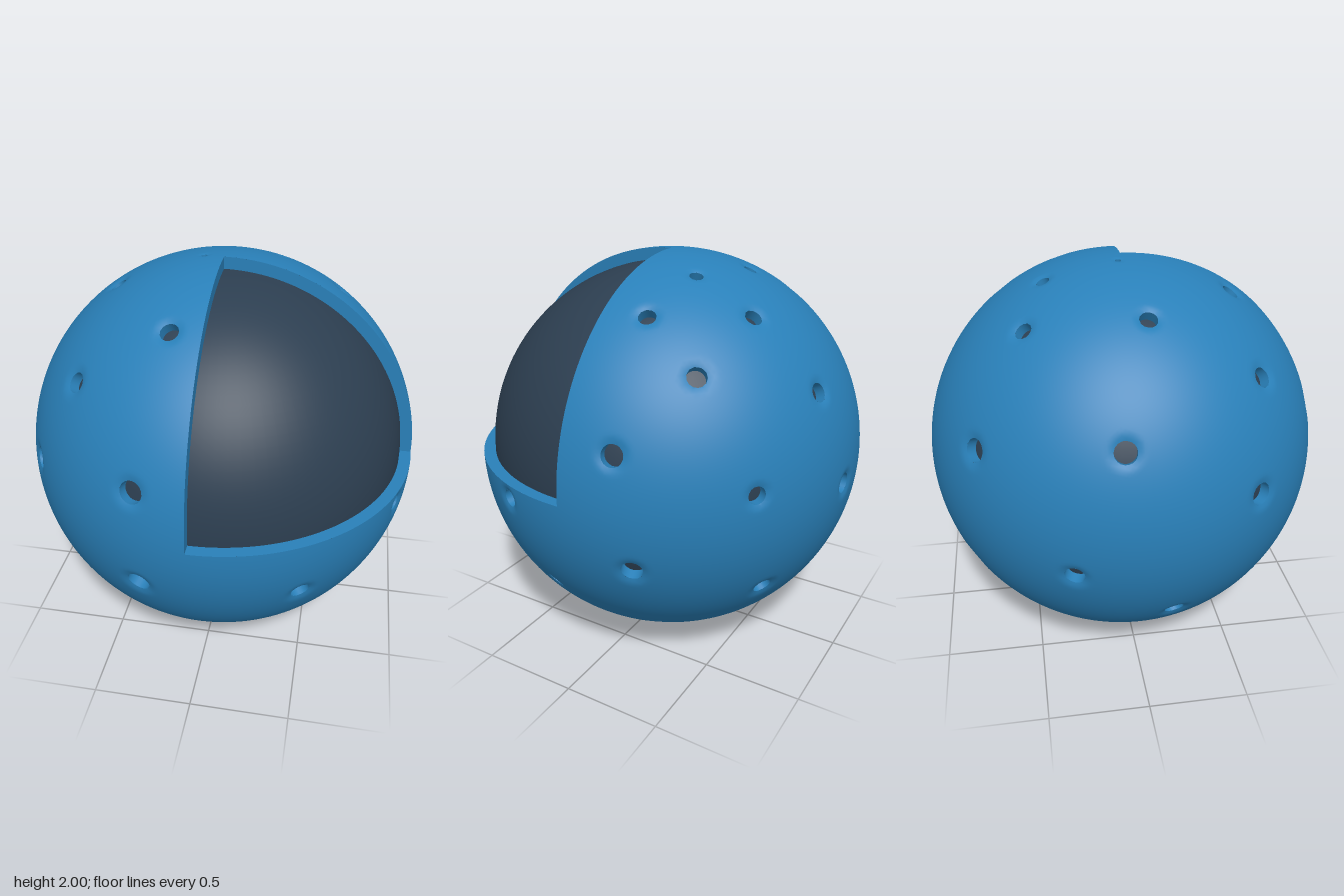
import * as THREE from 'three';
import { mergeVertices } from 'three/addons/utils/BufferGeometryUtils.js';

const OUTER = 1, INNER = 0.94, DIP = 0.01;

// Hole directions (x, y, z from the sphere centre) and angular radius
const HOLES = [
  [-0.15, 0.83, 0.52, 0.045], [-0.59, 0.57, 0.57, 0.05], [-0.25, 0.25, 0.93, 0.056],
  [-0.84, 0.10, 0.53, 0.056], [-0.25, -0.28, 0.93, 0.058], [0.51, -0.34, 0.79, 0.05],
  [-0.36, -0.75, 0.55, 0.048], [0.21, -0.78, 0.58, 0.045], [0.93, -0.08, 0.35, 0.045],
  [0.79, -0.57, 0.22, 0.05], [-0.52, 0.85, 0.05, 0.043], [-0.82, -0.55, 0.15, 0.05],
  [0.93, 0.27, -0.25, 0.052], [0.64, 0.58, -0.50, 0.047], [0.57, 0.79, -0.21, 0.042],
  [0.25, 0.93, -0.28, 0.034], [0.26, 0.77, -0.58, 0.043], [0.61, 0.08, -0.79, 0.043],
  [0.17, 0.44, -0.88, 0.047], [0.90, -0.29, -0.32, 0.053], [0.43, -0.49, -0.76, 0.048],
  [0.57, -0.78, -0.26, 0.046], [0.18, -0.98, 0.08, 0.05], [-0.24, -0.965, 0.11, 0.04],
  [-0.385, 0.78, -0.50, 0.043], [-0.11, 0.915, -0.387, 0.034], [-0.10, 0.995, -0.025, 0.015],
  [-0.905, 0.41, -0.11, 0.052], [-0.585, 0.295, -0.755, 0.057], [0.045, -0.04, -1, 0.052],
  [-0.915, -0.21, -0.344, 0.05], [-0.41, -0.42, -0.81, 0.05], [-0.47, -0.82, -0.33, 0.045],
  [0.08, -0.84, -0.54, 0.045],
].map(([x, y, z, r]) => ({ dir: new THREE.Vector3(x, y, z).normalize(), r }));

// Sphere skin without one octant; vertices are gathered on each hole's rim
// and the triangles lying inside the rim are dropped
function skinGeometry() {
  const raw = new THREE.OctahedronGeometry(OUTER, 95);
  raw.deleteAttribute('normal');
  raw.deleteAttribute('uv');
  const geo = mergeVertices(raw, 1e-5);
  const pos = geo.attributes.position;
  const inHole = new Array(pos.count).fill(-1);
  const octant = new Array(pos.count);
  const v = new THREE.Vector3(), t = new THREE.Vector3();
  for (let i = 0; i < pos.count; i++) {
    v.fromBufferAttribute(pos, i).normalize();
    octant[i] = [v.x, v.y, v.z];
    HOLES.forEach(({ dir, r }, h) => {
      const angle = v.angleTo(dir);
      if (angle > r * 1.8) return;
      t.copy(v).addScaledVector(dir, -v.dot(dir)).normalize();
      let a = angle;
      if (angle < r + 0.008) {
        a = r;
        inHole[i] = h;
      }
      // softly sunken lip round the hole
      const k = Math.max(0, 1 - (a - r) / (0.8 * r));
      const radius = OUTER - DIP * k * k * Math.min(1, r / 0.04);
      v.copy(dir).multiplyScalar(Math.cos(a)).addScaledVector(t, Math.sin(a)).multiplyScalar(radius);
    });
    pos.setXYZ(i, v.x, v.y, v.z);
  }
  const kept = [], idx = geo.index.array;
  for (let i = 0; i < idx.length; i += 3) {
    const [a, b, c] = [idx[i], idx[i + 1], idx[i + 2]];
    if (inHole[a] >= 0 && inHole[a] === inHole[b] && inHole[a] === inHole[c]) continue;
    const cut = [0, 1, 2].every(k => octant[a][k] + octant[b][k] + octant[c][k] > 1e-5);
    if (!cut) kept.push(a, b, c);
  }
  geo.setIndex(kept);
  geo.computeVertexNormals();
  return geo;
}

export function createModel() {
  const model = new THREE.Group();
  model.name = 'cutawaySphere';
  const blue = new THREE.MeshStandardMaterial({ color: 0x2980b9, side: THREE.DoubleSide });
  const dark = new THREE.MeshStandardMaterial({ color: 0x2c3e50 });
  const add = (name, geometry, material, parent = model) => {
    const mesh = new THREE.Mesh(geometry, material);
    mesh.name = name;
    parent.add(mesh);
    return mesh;
  };

  const body = new THREE.Group();
  body.name = 'body';
  body.position.y = OUTER;
  model.add(body);

  add('shell', skinGeometry(), blue, body);
  add('core', new THREE.SphereGeometry(INNER, 96, 64), dark, body);

  // Three quarter-ring faces where the octant is cut from the shell
  const face = new THREE.RingGeometry(INNER, OUTER, 64, 1, 0, Math.PI / 2);
  add('cutFaceBack', face, blue, body);
  add('cutFaceSide', face, blue, body).rotation.y = -Math.PI / 2;
  add('cutFaceBottom', face, blue, body).rotation.x = Math.PI / 2;

  // Walls of the holes, reaching from the skin down to the core
  const holeWalls = new THREE.Group();
  holeWalls.name = 'holeWalls';
  body.add(holeWalls);
  const up = new THREE.Vector3(0, 1, 0);
  for (const { dir, r } of HOLES) {
    const rim = OUTER - DIP * Math.min(1, r / 0.04);
    const top = rim * Math.cos(r), bottom = INNER - 0.005, radius = rim * Math.sin(r);
    const wall = add('holeWall',
      new THREE.CylinderGeometry(radius, radius, top - bottom, 24, 1, true), blue, holeWalls);
    wall.position.copy(dir).multiplyScalar((top + bottom) / 2);
    wall.quaternion.setFromUnitVectors(up, dir);
  }
  return model;
}
